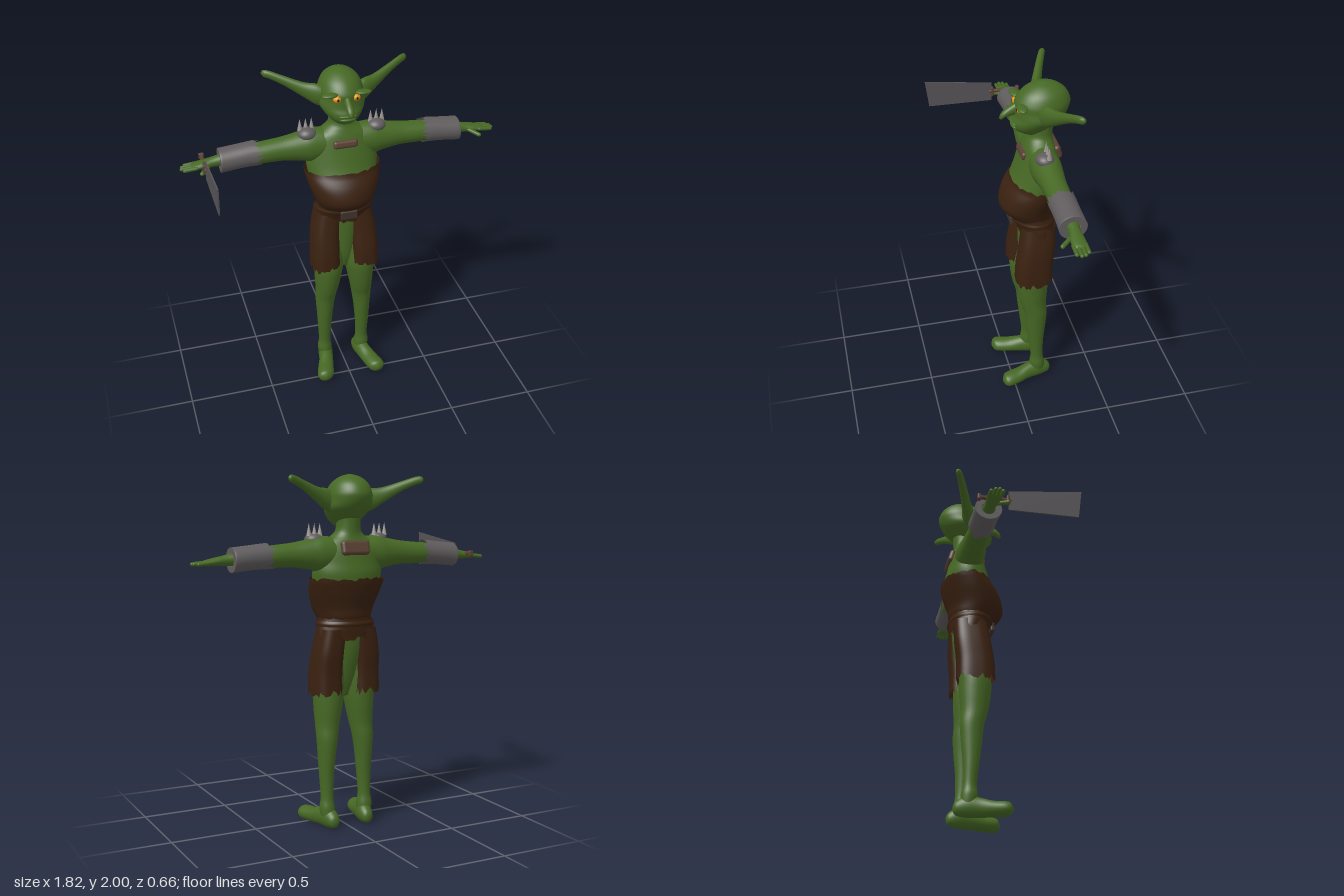
import * as THREE from 'three';
import { RoundedBoxGeometry } from 'three/addons/geometries/RoundedBoxGeometry.js';

const material = (name, color, side = THREE.FrontSide) => {
  const m = new THREE.MeshStandardMaterial({ color, side });
  m.name = name;
  return m;
};

// Seeded noise for ragged hems
let seed = 7;
const rnd = () => (seed = (seed * 16807) % 2147483647) / 2147483647;

const catmull = (a, b, c, d, t) =>
  0.5 * (2 * b + (c - a) * t + (2 * a - 5 * b + 4 * c - d) * t * t + (3 * b - a - 3 * c + d) * t * t * t);

// Smooth body through elliptical rings. Row: [position on axis, centre u, centre v, radius u, radius v],
// where (axis, u, v) cycles x-y-z. Rows run in increasing order along the axis.
function loft(axis, rows, { steps = 5, seg = 28, open = false, square = 2, jagStart = 0, jagEnd = 0 } = {}) {
  const rings = [];
  const row = i => rows[Math.max(0, Math.min(rows.length - 1, i))];
  for (let i = 0; i < rows.length - 1; i++) {
    for (let s = 0; s < steps; s++) {
      rings.push(row(i).map((v, k) => catmull(row(i - 1)[k], v, row(i + 1)[k], row(i + 2)[k], s / steps)));
    }
  }
  rings.push(row(rows.length - 1));
  const pos = [], index = [];
  const put = (t, u, v) => {
    const p = [0, 0, 0];
    p[axis] = t; p[(axis + 1) % 3] = u; p[(axis + 2) % 3] = v;
    pos.push(...p);
  };
  const bend = v => Math.sign(v) * Math.abs(v) ** (2 / square);
  rings.forEach(([t, cu, cv, ru, rv], i) => {
    for (let j = 0; j < seg; j++) {
      const a = (j / seg) * Math.PI * 2;
      let tt = t;
      if (i === 0) tt -= jagStart * rnd();
      if (i === rings.length - 1) tt += jagEnd * rnd();
      put(tt, cu + ru * bend(Math.cos(a)), cv + rv * bend(Math.sin(a)));
      if (i < rings.length - 1) {
        const k = (j + 1) % seg, o = i * seg, n = o + seg;
        index.push(o + j, o + k, n + j, o + k, n + k, n + j);
      }
    }
  });
  if (!open) {
    const last = rings.length - 1, c = rings.length * seg;
    put(...rings[0]);
    put(...rings[last]);
    pos.length = (c + 2) * 3;
    for (let j = 0; j < seg; j++) {
      const k = (j + 1) % seg;
      index.push(c, k, j, c + 1, last * seg + j, last * seg + k);
    }
  }
  const g = new THREE.BufferGeometry();
  g.setAttribute('position', new THREE.Float32BufferAttribute(pos, 3));
  g.setIndex(index);
  g.computeVertexNormals();
  return g;
}

const blob = (x, y, z, rx, ry, rz) => new THREE.SphereGeometry(1, 24, 16).scale(rx, ry, rz).translate(x, y, z);

// Round-ended rod between two points
function rod(a, b, r) {
  const p = new THREE.Vector3(...a), q = new THREE.Vector3(...b), d = q.clone().sub(p);
  const turn = new THREE.Quaternion().setFromUnitVectors(new THREE.Vector3(0, 1, 0), d.clone().normalize());
  return new THREE.CapsuleGeometry(r, d.length(), 5, 12)
    .applyQuaternion(turn).translate(...p.add(q).multiplyScalar(0.5).toArray());
}

function mirrored(geometry) {
  const g = geometry.clone().scale(-1, 1, 1);
  const a = g.index.array;
  for (let i = 0; i < a.length; i += 3) [a[i], a[i + 1]] = [a[i + 1], a[i]];
  g.computeVertexNormals();
  return g;
}

export function createModel() {
  const model = new THREE.Group();
  model.name = 'goblin';
  const skin = material('green skin', 0x466824);
  const leather = material('dark leather', 0x3a2110, THREE.DoubleSide);
  const strap = material('brown strap', 0x5a4034);
  const buckleMat = material('dull buckle', 0x40322a);
  const iron = material('grey iron', 0x605c5e, THREE.DoubleSide);
  const spikeMat = material('pale spike', 0x99948f);
  const bladeMat = material('dark blade', 0x565356);
  const eyeMat = material('amber eye', 0xe0930f);
  const pupilMat = material('dark pupil', 0x2a1805);

  const add = (name, geometry, mat) => {
    const mesh = new THREE.Mesh(geometry, mat);
    mesh.name = name;
    model.add(mesh);
    return mesh;
  };
  const pair = (name, geometry, mat) => {
    add(name + 'Left', geometry, mat);
    add(name + 'Right', mirrored(geometry), mat);
  };

  // Torso, neck and pelvis
  add('torso', loft(1, [
    [1.12, -.15, 0, .09, .14], [1.25, -.11, 0, .14, .15], [1.35, -.13, 0, .148, .188], [1.45, -.157, 0, .133, .205],
    [1.52, -.162, 0, .115, .2], [1.58, -.165, 0, .1, .19], [1.63, -.165, 0, .085, .16], [1.665, -.167, 0, .074, .1],
    [1.7, -.172, 0, .068, .07], [1.78, -.175, 0, .07, .068]], { seg: 40 }), skin);
  add('pelvis', loft(1, [[.76, -.12, 0, .03, .03], [.85, -.125, 0, .06, .07], [1, -.14, 0, .085, .09], [1.15, -.15, 0, .09, .14]]), skin);

  // Head with long hooked nose
  add('head', loft(1, [
    [1.7, -.14, 0, .04, .035], [1.725, -.125, 0, .078, .06], [1.75, -.125, 0, .105, .085], [1.785, -.142, 0, .127, .112],
    [1.82, -.165, 0, .137, .13], [1.86, -.178, 0, .147, .126], [1.9, -.182, 0, .149, .121], [1.95, -.187, 0, .118, .098],
    [1.985, -.19, 0, .065, .055], [2, -.19, 0, .008, .008]], { seg: 40 }), skin);
  add('nose', loft(2, [
    [-.07, 0, 1.868, .022, .042], [-.02, 0, 1.852, .02, .03], [.02, 0, 1.836, .02, .022],
    [.042, 0, 1.82, .015, .018], [.052, 0, 1.812, .003, .004]]), skin);
  add('upperLip', blob(0, 1.782, -.025, .05, .009, .02), skin);
  add('lowerLip', blob(0, 1.762, -.03, .045, .01, .022), skin);
  pair('brow', blob(.055, 1.905, -.05, .045, .012, .028).rotateZ(-.02), skin);
  pair('eye', blob(.053, 1.878, -.049, .023, .02, .021), eyeMat);
  pair('pupil', blob(.053, 1.878, -.0305, .007, .008, .004), pupilMat);
  pair('ear', loft(0, [
    [.07, 1.85, -.165, .05, .04], [.13, 1.86, -.175, .062, .038], [.2, 1.886, -.2, .044, .03], [.3, 1.935, -.24, .028, .023],
    [.37, 1.964, -.27, .023, .02], [.4, 1.97, -.283, .019, .017], [.412, 1.972, -.287, .004, .004]]), skin);

  // Arms and hands
  pair('arm', loft(0, [
    [.05, 1.57, -.165, .085, .08], [.17, 1.567, -.165, .098, .084], [.24, 1.567, -.165, .083, .077], [.34, 1.565, -.165, .067, .066],
    [.45, 1.56, -.165, .061, .063], [.54, 1.558, -.165, .055, .056], [.68, 1.55, -.163, .034, .036], [.73, 1.545, -.162, .028, .032],
    [.78, 1.54, -.16, .022, .038], [.83, 1.535, -.16, .016, .038], [.85, 1.533, -.16, .008, .03]]), skin);
  for (let i = 0; i < 4; i++) {
    const z = -.19 + i * .021;
    pair('finger', rod([.82, 1.536, z], [.9 - [.022, .004, 0, .014][i], 1.53, z], .0105), skin);
  }
  pair('thumb', rod([.755, 1.538, -.135], [.8, 1.525, -.08], .012), skin);

  // Legs and feet
  pair('leg', loft(1, [
    [.05, -.155, .115, .045, .04], [.12, -.15, .12, .046, .044], [.18, -.148, .12, .038, .036], [.3, -.142, .12, .045, .042],
    [.42, -.14, .118, .058, .05], [.52, -.138, .114, .067, .06], [.6, -.125, .107, .076, .068], [.7, -.12, .1, .088, .081],
    [.8, -.12, .095, .09, .089], [1, -.14, .09, .075, .08], [1.15, -.15, .08, .07, .07]]), skin);
  pair('foot', loft(2, [
    [-.236, .107, .05, .008, .01], [-.222, .108, .05, .03, .036], [-.17, .112, .06, .045, .058], [-.1, .125, .056, .045, .054],
    [-.03, .146, .046, .05, .044], [.03, .162, .044, .052, .042], [.06, .166, .044, .04, .035], [.076, .167, .044, .008, .01]]), skin);

  // Ragged leather clothing
  add('bellyWrap', loft(1, [
    [1.19, -.128, 0, .118, .148], [1.22, -.115, 0, .145, .16], [1.27, -.104, 0, .161, .18], [1.35, -.127, 0, .164, .207],
    [1.42, -.16, 0, .149, .222]], { open: true, seg: 56, jagEnd: .02 }), leather);
  add('waistCloth', loft(1, [
    [1.11, -.15, 0, .103, .178], [1.15, -.142, 0, .115, .172], [1.205, -.128, 0, .129, .156]],
  { open: true, seg: 56, jagStart: .025, jagEnd: .01 }), leather);
  pair('trouserLeg', loft(1, [
    [.81, -.12, .118, .108, .084], [.9, -.123, .117, .106, .082], [1.02, -.138, .111, .103, .079], [1.15, -.15, .09, .095, .075]],
  { open: true, seg: 52, square: 2.8, jagStart: .045 }), leather);
  add('belt', loft(1, [
    [1.165, -.138, 0, .124, .172], [1.18, -.135, 0, .131, .174], [1.195, -.132, 0, .128, .168]], { open: true, seg: 48 }), leather);
  add('buckle', new RoundedBoxGeometry(.1, .055, .025, 3, .008).translate(0, 1.168, -.008), buckleMat);

  // Chest and back plates
  const chestPlate = add('chestPlate', new RoundedBoxGeometry(.14, .045, .035, 4, .016), strap);
  chestPlate.position.set(0, 1.59, -.073);
  chestPlate.rotation.x = -.25;
  const backPlate = add('backPlate', new RoundedBoxGeometry(.17, .08, .04, 4, .019), strap);
  backPlate.position.set(0, 1.6, -.257);
  backPlate.rotation.x = .25;

  // Torn iron bracers
  pair('bracer', loft(0, [
    [.5, 1.563, -.165, .07, .073], [.58, 1.557, -.165, .067, .071], [.68, 1.547, -.165, .067, .074],
    [.69, 1.546, -.165, .064, .071], [.69, 1.546, -.165, .036, .038]], { open: true, steps: 2, seg: 40, jagStart: .05 }), iron);

  // Spiked shoulder pads
  pair('shoulderPad', blob(.2, 1.646, -.148, .053, .036, .05), iron);
  for (const x of [.17, .203, .236]) {
    pair('shoulderSpike', new THREE.ConeGeometry(.015, .07, 12).translate(x, 1.7, -.162), spikeMat);
  }

  // Cleaver across the right hand
  const outline = new THREE.Shape([[-.075, 1.49], [.31, 1.495], [.33, 1.658], [-.075, 1.605]].map(p => new THREE.Vector2(...p)));
  add('blade', new THREE.ExtrudeGeometry(outline, { depth: .008, bevelEnabled: false })
    .rotateY(-Math.PI / 2).translate(-.774, 0, 0), bladeMat);
  add('cleaverHandle', rod([-.778, 1.55, -.225], [-.778, 1.55, -.07], .0115), strap);
  add('cleaverGuard', new RoundedBoxGeometry(.03, .06, .016, 2, .006).translate(-.778, 1.548, -.078), strap);
  add('cleaverPommel', new RoundedBoxGeometry(.03, .034, .02, 2, .006).translate(-.778, 1.55, -.235), strap);
  return model;
}
